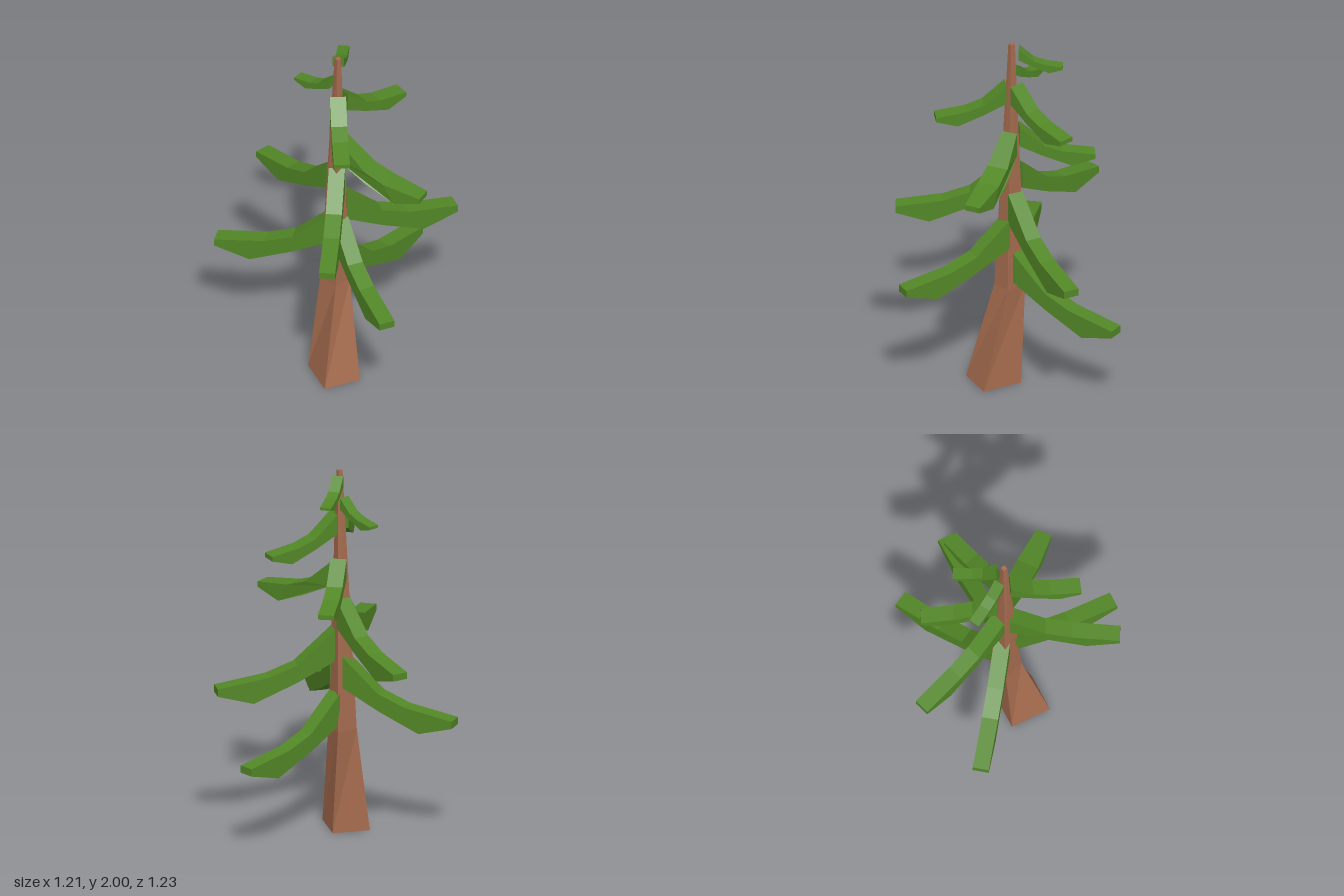
import * as THREE from 'three';

const bark = new THREE.MeshStandardMaterial({ color: 0xa56b4e, flatShading: true });
bark.name = 'bark brown';
const needles = new THREE.MeshStandardMaterial({ color: 0x528726, flatShading: true });
needles.name = 'needle green';

// Side profile of a full-size drooping branch: [distance, height], root top at 0,0
const PROFILE = [
  [0, -0.17], [0.2, -0.27], [0.43, -0.365], [0.62, -0.31],
  [0.62, -0.27], [0.35, -0.23], [0.2, -0.175], [0, 0],
];
const AXIS_X = -0.06, AXIS_Z = -0.032, ROOT_OFFSET = 0.035;

// Branch from the trunk axis towards a tip position, hanging from rootY
function makeBranch({ tip, rootY, width = 0.085, bulge = 0 }) {
  const dx = tip[0] - AXIS_X, dz = tip[1] - AXIS_Z;
  const length = Math.hypot(dx, dz) - ROOT_OFFSET;
  const s = length / 0.62;
  const shape = new THREE.Shape(PROFILE.map(([d, h]) => new THREE.Vector2(d * s, h * s)));
  const geo = new THREE.ExtrudeGeometry(shape, { depth: width, bevelEnabled: false });
  geo.translate(0, 0, -width / 2);
  // optional widening towards the middle
  const p = geo.attributes.position;
  for (let i = 0; i < p.count; i++) {
    const t = p.getX(i) / length;
    p.setZ(i, p.getZ(i) * (1 + bulge * Math.sin(Math.PI * t)));
  }
  geo.translate(ROOT_OFFSET, 0, 0);
  geo.computeVertexNormals();
  const mesh = new THREE.Mesh(geo, needles);
  mesh.position.set(AXIS_X, rootY, AXIS_Z);
  mesh.rotation.y = Math.atan2(-dz, dx);
  return mesh;
}

// Trunk: four-sided sections, corners in order front-left, front-right, back-right, back-left
function makeTrunk() {
  const rings = [
    { y: 0, c: [[-0.215, 0.16], [-0.015, 0.16], [-0.015, -0.06], [-0.215, -0.06]] },
    { y: 0.57, c: [[-0.105, 0.05], [-0.012, 0.02], [-0.035, -0.095], [-0.145, -0.06]] },
    { y: 2, c: [[-0.07, -0.014], [-0.046, -0.018], [-0.05, -0.042], [-0.074, -0.038]] },
  ];
  const pos = [], idx = [];
  for (const { y, c } of rings) for (const [x, z] of c) pos.push(x, y, z);
  for (let r = 0; r < rings.length - 1; r++) {
    for (let k = 0; k < 4; k++) {
      const a = r * 4 + k, b = r * 4 + (k + 1) % 4;
      idx.push(a, b, b + 4, a, b + 4, a + 4);
    }
  }
  idx.push(0, 3, 2, 0, 2, 1); // base
  idx.push(8, 9, 10, 8, 10, 11); // top
  const geo = new THREE.BufferGeometry();
  geo.setAttribute('position', new THREE.Float32BufferAttribute(pos, 3));
  geo.setIndex(idx);
  const flat = geo.toNonIndexed();
  flat.computeVertexNormals();
  return new THREE.Mesh(flat, bark);
}

export function createModel() {
  const tree = new THREE.Group();
  tree.name = 'pineTree';

  const trunk = makeTrunk();
  trunk.name = 'trunk';
  tree.add(trunk);

  // Branches from the lowest to the highest; tip is [x, z]
  const branches = new THREE.Group();
  branches.name = 'branches';
  [
    { tip: [0.52, -0.34], rootY: 0.78 },
    { tip: [-0.055, 0.615], rootY: 0.98 },
    { tip: [-0.58, -0.428], rootY: 0.98 },
    { tip: [0.605, -0.033], rootY: 1.13 },
    { tip: [-0.348, 0.505], rootY: 1.3 },
    { tip: [-0.243, -0.603], rootY: 1.3 },
    { tip: [0.255, 0.367], rootY: 1.49, bulge: 0.4 },
    { tip: [0.113, -0.428], rootY: 1.52 },
    { tip: [-0.198, 0.35], rootY: 1.77 },
    { tip: [0.348, -0.137], rootY: 1.77 },
    { tip: [-0.185, -0.267], rootY: 1.86, width: 0.06 },
    { tip: [0.073, -0.26], rootY: 1.98, width: 0.06 },
  ].forEach((spec, i) => {
    const branch = makeBranch(spec);
    branch.name = `branch${i + 1}`;
    branches.add(branch);
  });
  tree.add(branches);
  return tree;
}
